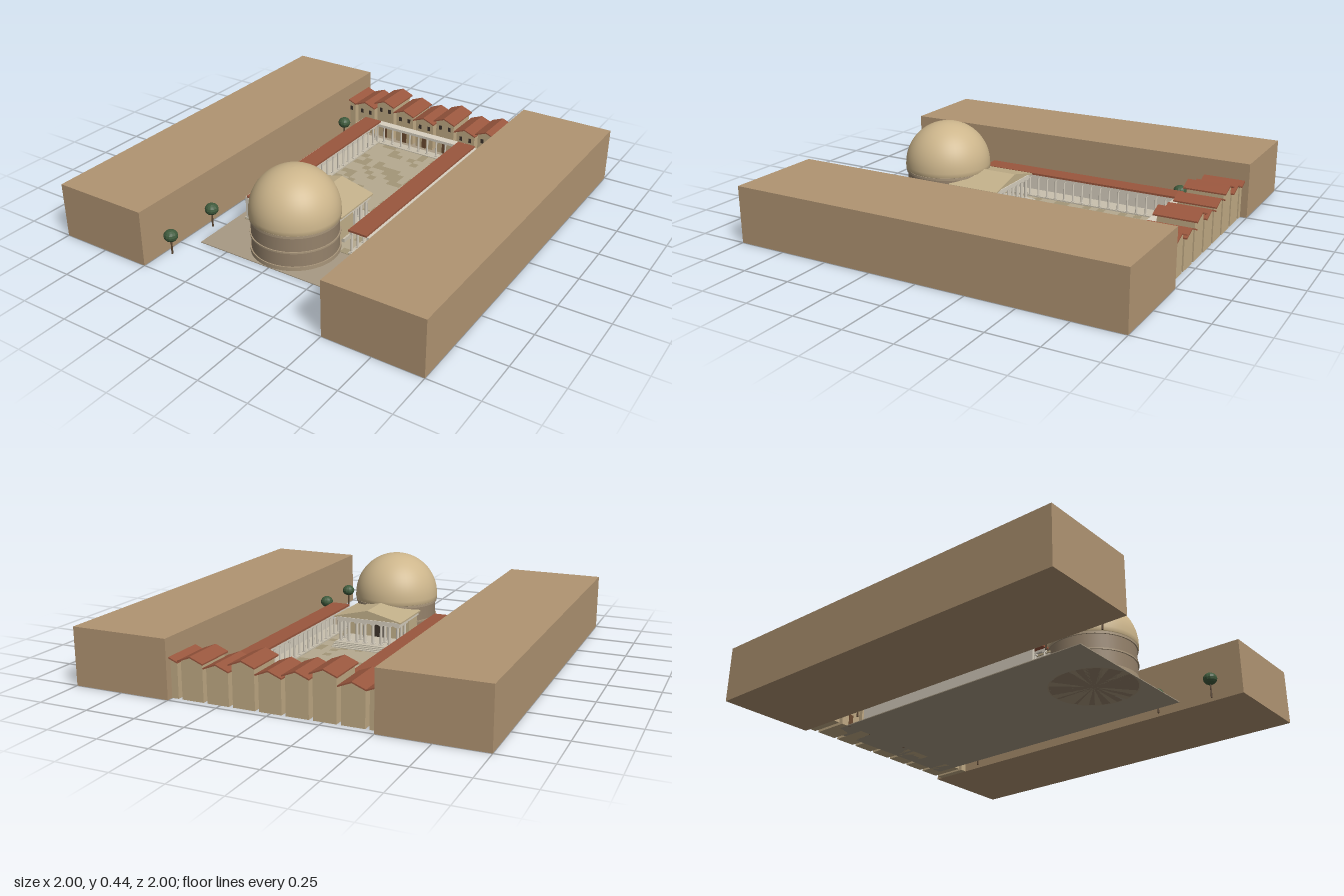
import * as THREE from 'three';
import { mergeGeometries } from 'three/addons/utils/BufferGeometryUtils.js';

const mat = (color, flatShading = false) => new THREE.MeshStandardMaterial({ color, flatShading });
const M = {
  block: mat(0xb09472), paving: mat(0xa89a84), tileLight: mat(0xb6aa90), tileDark: mat(0xa39678),
  drum: mat(0x95826b), band: mat(0xa8957a), dome: mat(0xcdb68c), stone: mat(0xd8d0c0),
  step: mat(0xc9c1ae), portico: mat(0xc2b08a), roof: mat(0x9a573e), wall: mat(0xc0aa84),
  wood: mat(0x6b4a30), dark: mat(0x3b322a), leaf: mat(0x3f5a3c, true), trunk: mat(0x5b4632),
};

// Box given by its lower and upper corners
function boxGeo(x0, x1, y0, y1, z0, z1) {
  return new THREE.BoxGeometry(x1 - x0, y1 - y0, z1 - z0)
    .translate((x0 + x1) / 2, (y0 + y1) / 2, (z0 + z1) / 2);
}
function add(parent, name, geo, material) {
  const mesh = new THREE.Mesh(Array.isArray(geo) ? mergeGeometries(geo) : geo, material);
  mesh.name = name;
  parent.add(mesh);
  return mesh;
}
function group(parent, name) {
  const g = new THREE.Group();
  g.name = name;
  parent.add(g);
  return g;
}
// Column with a square base and capital
function column(x, z, y0, y1, r) {
  return [
    new THREE.CylinderGeometry(r * 0.85, r, y1 - y0, 8).translate(x, (y0 + y1) / 2, z),
    boxGeo(x - r * 1.3, x + r * 1.3, y0, y0 + 0.005, z - r * 1.3, z + r * 1.3),
    boxGeo(x - r * 1.3, x + r * 1.3, y1 - 0.007, y1, z - r * 1.3, z + r * 1.3),
  ];
}
// Triangular or chevron outline extruded along z
function prism(points, z0, z1) {
  const shape = new THREE.Shape(points.map(([x, y]) => new THREE.Vector2(x, y)));
  return new THREE.ExtrudeGeometry(shape, { depth: z1 - z0, bevelEnabled: false }).translate(0, 0, z0);
}
function gableRoof(w, eave, rise, t, z0, z1) {
  return prism([[-w, eave], [0, eave + rise], [w, eave], [w, eave + t], [0, eave + rise + t], [-w, eave + t]]
    .reverse(), z0, z1);
}

function buildPlaza(root) {
  const plaza = group(root, 'plaza');
  add(plaza, 'paving', boxGeo(-0.41, 0.41, 0, 0.004, -0.9, 0.7), M.paving);
  // Paving stones in two tones, in a repeatable scatter
  let seed = 17;
  const rand = () => (seed = (seed * 16807) % 2147483647) / 2147483647;
  const light = [], dark = [], nx = 18, nz = 28, sx = 0.74 / nx, sz = 1.15 / nz;
  for (let i = 0; i < nx; i++) {
    for (let j = 0; j < nz; j++) {
      const x = -0.37 + i * sx, z = -0.74 + j * sz;
      (rand() < 0.3 ? dark : light).push(boxGeo(x, x + sx, 0.003, 0.006, z, z + sz));
    }
  }
  add(plaza, 'lightTiles', light, M.tileLight);
  add(plaza, 'darkTiles', dark, M.tileDark);
}

function buildRotunda(root) {
  const rotunda = group(root, 'rotunda');
  rotunda.position.z = 0.48;
  add(rotunda, 'drum', new THREE.CylinderGeometry(0.213, 0.213, 0.19, 48).translate(0, 0.095, 0), M.drum);
  [[0.012, 0.024], [0.1, 0.008], [0.183, 0.012]].forEach(([y, h]) =>
    add(rotunda, 'cornice', new THREE.CylinderGeometry(0.219, 0.219, h, 48).translate(0, y, 0), M.band));
  // Dome springs from a short plain ring
  const profile = [[0.215, 0.189], [0.222, 0.192], [0.222, 0.213]].map(p => new THREE.Vector2(...p));
  for (let i = 1; i <= 16; i++) {
    const a = (i / 16) * Math.PI / 2;
    profile.push(new THREE.Vector2(0.222 * Math.cos(a), 0.213 + 0.222 * Math.sin(a)));
  }
  add(rotunda, 'dome', new THREE.LatheGeometry(profile, 48), M.dome);
}

function buildPortico(root) {
  const portico = group(root, 'portico');
  for (let i = 0; i < 4; i++) {
    add(portico, 'step', boxGeo(-0.18, 0.18, 0.004, 0.01 + i * 0.005, 0.02 + i * 0.014, 0.33), M.step);
  }
  const cols = [];
  for (let i = 0; i < 8; i++) cols.push(...column(-0.16 + i * 0.32 / 7, 0.1, 0.025, 0.135, 0.009));
  for (const z of [0.15, 0.2])
    for (const x of [-0.16, -0.0686, 0.0686, 0.16]) cols.push(...column(x, z, 0.025, 0.135, 0.009));
  add(portico, 'columns', cols, M.stone);
  // Vestibule joining the porch to the drum, with its doorway
  add(portico, 'vestibule', boxGeo(-0.17, 0.17, 0.025, 0.135, 0.235, 0.38), M.portico);
  add(portico, 'doorway', boxGeo(-0.03, 0.03, 0.025, 0.11, 0.231, 0.236), M.dark);
  add(portico, 'entablature', boxGeo(-0.175, 0.175, 0.135, 0.155, 0.085, 0.36), M.stone);
  add(portico, 'pediment', prism([[-0.17, 0.155], [0.17, 0.155], [0, 0.2]], 0.09, 0.34), M.portico);
  add(portico, 'porchRoof', gableRoof(0.185, 0.153, 0.045, 0.008, 0.075, 0.36), M.portico);
}

// Side colonnade: open toward the plaza, walled on the outside
function buildColonnade(root, side) {
  const c = group(root, side > 0 ? 'leftColonnade' : 'rightColonnade');
  const sideBox = (x0, x1, ...rest) => side > 0 ? boxGeo(x0, x1, ...rest) : boxGeo(-x1, -x0, ...rest);
  add(c, 'platform', sideBox(0.25, 0.37, 0.004, 0.012, -0.715, 0.405), M.step);
  const cols = [];
  for (let i = 0; i < 22; i++) cols.push(...column(side * 0.262, -0.7 + i * 1.09 / 21, 0.012, 0.118, 0.006));
  add(c, 'columns', cols, M.stone);
  add(c, 'backWall', sideBox(0.35, 0.365, 0.012, 0.128, -0.71, 0.4), M.stone);
  add(c, 'architrave', sideBox(0.254, 0.27, 0.118, 0.13, -0.71, 0.4), M.stone);
  add(c, 'colonnadeRoof', sideBox(0.25, 0.352, 0.129, 0.139, -0.712, 0.405), M.roof);
}

function buildGateway(root) {
  const gate = group(root, 'endColonnade');
  add(gate, 'gateStep', boxGeo(-0.365, 0.365, 0.004, 0.01, -0.745, -0.69), M.step);
  const cols = [];
  for (let i = 0; i < 11; i++) cols.push(...column(-0.285 + i * 0.057, -0.715, 0.01, 0.11, 0.006));
  add(gate, 'columns', cols, M.stone);
  add(gate, 'lintel', boxGeo(-0.3, 0.3, 0.11, 0.125, -0.738, -0.692), M.stone);
}

function buildHouses(root) {
  const row = group(root, 'houses');
  [0.175, 0.175, 0.212, 0.185, 0.17, 0.198, 0.164, 0.182, 0.175].forEach((h, i) => {
    const house = group(row, 'house');
    house.position.x = (i - 4) * 0.13;
    add(house, 'walls', prism([[-0.055, 0], [0.055, 0], [0.055, h], [0, h + 0.022], [-0.055, h]],
      -0.965, -0.78), M.wall);
    add(house, 'houseRoof', gableRoof(0.065, h - 0.004, 0.026, 0.007, -0.98, -0.762), M.roof);
    add(house, 'door', boxGeo(-0.013, 0.013, 0, 0.065, -0.782, -0.777), M.wood);
    const windows = [];
    for (const x of [-0.028, 0.028])
      windows.push(boxGeo(x - 0.008, x + 0.008, h - 0.05, h - 0.026, -0.782, -0.777));
    add(house, 'windows', windows, M.dark);
  });
}

function buildTree(root, x, z) {
  const tree = group(root, 'tree');
  tree.position.set(x, 0, z);
  add(tree, 'trunk', new THREE.CylinderGeometry(0.004, 0.005, 0.08, 6).translate(0, 0.04, 0), M.trunk);
  add(tree, 'crown', new THREE.SphereGeometry(0.035, 12, 8).scale(1, 0.88, 1).translate(0, 0.1, 0), M.leaf);
}

export function createModel() {
  const root = new THREE.Group();
  root.name = 'templeSquare';
  buildPlaza(root);
  buildRotunda(root);
  buildPortico(root);
  buildGateway(root);
  buildHouses(root);
  for (const s of [-1, 1]) {
    // Plain city blocks enclosing the square
    add(root, 'cityBlock', boxGeo(-0.25, 0.25, 0, 0.285, -1, 1), M.block).position.x = s * 0.75;
    buildColonnade(root, s);
    for (const z of [-0.65, 0.55, 0.85]) buildTree(root, s * 0.46, z);
  }
  return root;
}
